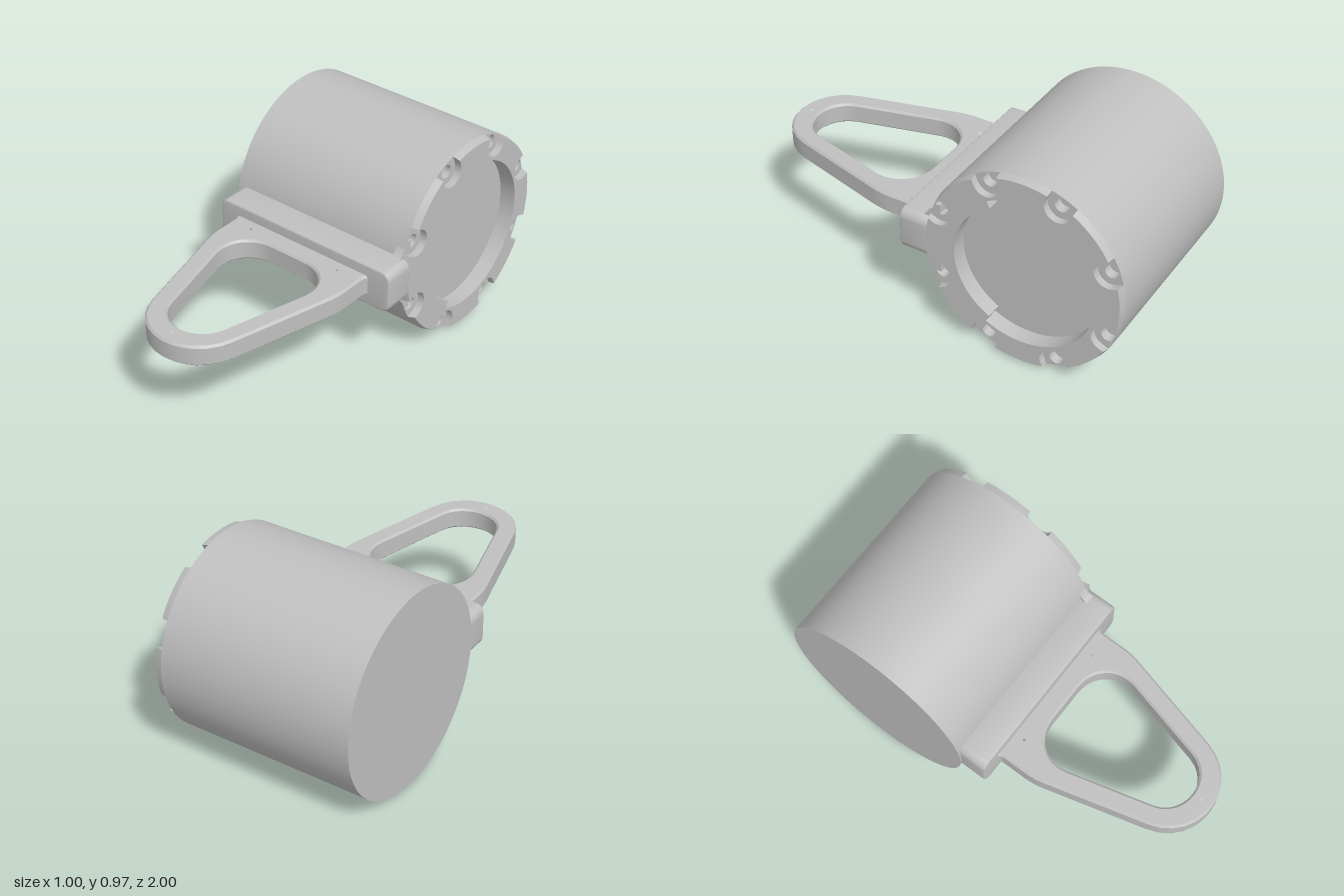
import * as THREE from 'three';
import { toCreasedNormals } from 'three/addons/utils/BufferGeometryUtils.js';

const R = 0.485, CY = 0.487, CZ = -0.515; // drum radius and axis
const RAD = Math.PI / 180;
const BOLT_R = 0.446, POCKET = 0.066;

const polar = (r, deg) => new THREE.Vector2(r * Math.cos(deg * RAD), r * Math.sin(deg * RAD));
const boltAngles = Array.from({ length: 8 }, (_, k) => 22.5 + 45 * k);

function circlePath(x, y, r) {
  return new THREE.Path().absarc(x, y, r, 0, Math.PI * 2, true);
}

// Recess outline: the radius steps in on the side facing the handle
function recessPath() {
  const pts = [];
  for (let i = 0; i <= 48; i++) pts.push(polar(0.367, -117 + (234 * i) / 48));
  for (let i = 0; i <= 24; i++) pts.push(polar(0.33, 117 + (126 * i) / 24));
  return new THREE.Path(pts);
}

// Rim outline with eight U-shaped pockets open to the outside
function notchedRim() {
  const pts = [], half = Math.asin(POCKET / R) / RAD;
  for (const c of boltAngles) {
    const centre = polar(BOLT_R, c);
    pts.push(polar(R, c - half));
    for (let i = 0; i <= 14; i++) pts.push(polar(POCKET, c - 90 - (180 * i) / 14).add(centre));
    for (let i = 0; i <= 8; i++) pts.push(polar(R, c + half + ((45 - 2 * half) * i) / 8));
    pts.pop(); // the next pocket starts at this point
  }
  return new THREE.Shape(pts);
}

// Extrude a profile of the end cap along x, between two x positions
function alongX(shape, x0, x1) {
  const g = new THREE.ExtrudeGeometry(shape, { depth: x1 - x0, bevelEnabled: false, curveSegments: 48 });
  return g.rotateY(Math.PI / 2).translate(x0, CY, CZ);
}

// Narrow the outer edge of the end face to a small chamfer
function chamferRim(g, xFace) {
  const p = g.attributes.position;
  for (let i = 0; i < p.count; i++) {
    const y = p.getY(i) - CY, z = p.getZ(i) - CZ, r = Math.hypot(y, z);
    if (p.getX(i) > xFace - 0.001 && r > R - 0.003) {
      p.setY(i, CY + (y * (R - 0.01)) / r);
      p.setZ(i, CZ + (z * (R - 0.01)) / r);
    }
  }
  return g;
}

function handleShape() {
  const s = new THREE.Shape();
  s.moveTo(-0.42, 0.07);
  s.lineTo(-0.42, 0.09);
  s.quadraticCurveTo(-0.38, 0.092, -0.38, 0.13);
  s.lineTo(-0.38, 0.24);
  s.quadraticCurveTo(-0.38, 0.29, -0.365, 0.345);
  s.lineTo(-0.24, 0.815);
  s.bezierCurveTo(-0.175, 1.061, 0.165, 1.061, 0.23, 0.815);
  s.lineTo(0.355, 0.345);
  s.quadraticCurveTo(0.37, 0.29, 0.37, 0.24);
  s.lineTo(0.37, 0.13);
  s.quadraticCurveTo(0.37, 0.092, 0.41, 0.09);
  s.lineTo(0.41, 0.07);
  s.closePath();
  // grip opening
  const h = new THREE.Path();
  h.moveTo(-0.1, 0.19);
  h.lineTo(0.09, 0.19);
  h.bezierCurveTo(0.2, 0.19, 0.28, 0.28, 0.248, 0.395);
  h.lineTo(0.145, 0.785);
  h.bezierCurveTo(0.105, 0.932, -0.115, 0.932, -0.155, 0.785);
  h.lineTo(-0.258, 0.395);
  h.bezierCurveTo(-0.29, 0.28, -0.21, 0.19, -0.1, 0.19);
  s.holes.push(h);
  // small through holes
  for (const [x, z] of [[-0.26, 0.15], [0.247, 0.15], [-0.007, 0.943]])
    s.holes.push(circlePath(x, z, 0.016));
  return s;
}

function roundedRect(x0, x1, y0, y1, r) {
  const s = new THREE.Shape();
  s.absarc(x1 - r, y1 - r, r, 0, Math.PI / 2);
  s.absarc(x0 + r, y1 - r, r, Math.PI / 2, Math.PI);
  s.absarc(x0 + r, y0 + r, r, Math.PI, Math.PI * 1.5);
  s.absarc(x1 - r, y0 + r, r, Math.PI * 1.5, Math.PI * 2);
  s.closePath();
  return s;
}

export function createModel() {
  const model = new THREE.Group();
  const grey = new THREE.MeshStandardMaterial({ color: 0xc0c0c0 });
  grey.name = 'grey metal';
  const add = (name, geometry, crease = 0.5) => {
    const mesh = new THREE.Mesh(toCreasedNormals(geometry, crease), grey);
    mesh.name = name;
    model.add(mesh);
  };

  // Drum, whose right end is also the recess floor
  add('drum', new THREE.CylinderGeometry(R, R, 0.92, 96).rotateZ(-Math.PI / 2).translate(-0.04, CY, CZ));

  // End cap: a plain ring with bolt holes, then the notched rim
  const ring = new THREE.Shape().absarc(0, 0, R, 0, Math.PI * 2);
  ring.holes.push(recessPath());
  for (const a of boltAngles) {
    const c = polar(BOLT_R, a);
    ring.holes.push(circlePath(c.x, c.y, 0.033));
  }
  add('capRing', alongX(ring, 0.42, 0.465));
  const rim = notchedRim();
  rim.holes.push(recessPath());
  add('capRim', chamferRim(alongX(rim, 0.465, 0.5), 0.5));

  // Concave fillets joining the cap to the mounting block
  const fillet = new THREE.Shape();
  fillet.moveTo(-0.42, 0.182);
  fillet.lineTo(-0.448, 0.182);
  fillet.quadraticCurveTo(-0.475, 0.106, -0.52, 0.104);
  fillet.lineTo(-0.52, -0.104);
  fillet.quadraticCurveTo(-0.475, -0.106, -0.448, -0.182);
  fillet.lineTo(-0.42, -0.182);
  fillet.closePath();
  add('capFillet', alongX(fillet, 0.421, 0.465));

  // Mounting block on the front of the drum
  const block = new THREE.ExtrudeGeometry(roundedRect(-0.49, 0.498, 0.383, 0.594, 0.045), {
    depth: 0.136, bevelThickness: 0.012, bevelSize: 0.012, bevelOffset: -0.012, bevelSegments: 3, curveSegments: 8,
  });
  add('mountingBlock', block.translate(0, 0, -0.048));

  // Flat pull handle
  const handle = new THREE.ExtrudeGeometry(handleShape(), {
    depth: 0.084, bevelThickness: 0.01, bevelSize: 0.01, bevelOffset: -0.01, bevelSegments: 1, curveSegments: 12,
  });
  add('handle', handle.rotateX(Math.PI / 2).translate(0, CY + 0.042, 0));

  return model;
}
